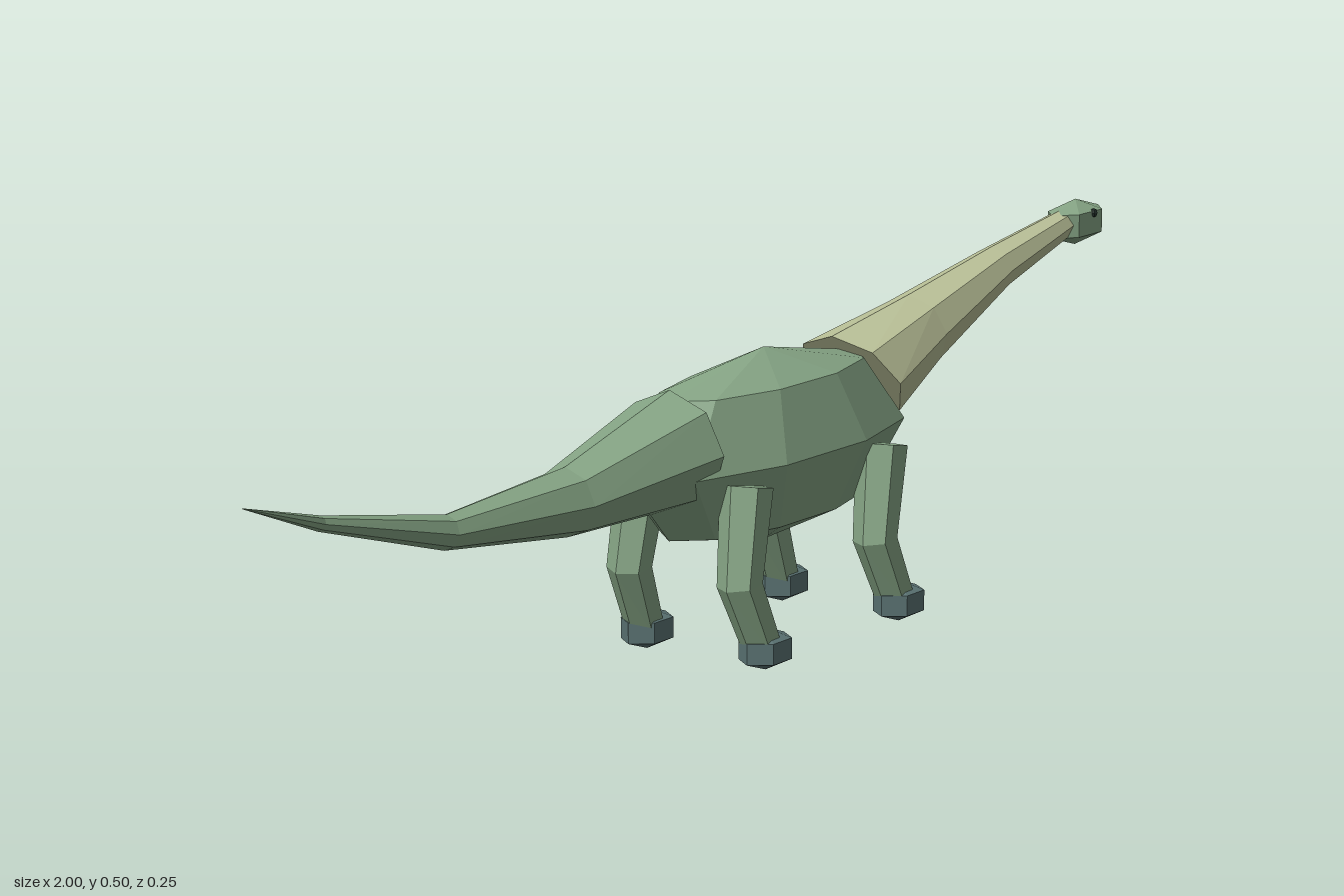
import * as THREE from 'three';

const mat = (name, color) => {
  const m = new THREE.MeshStandardMaterial({ color });
  m.name = name;
  return m;
};

// Faceted tube through rings [x, y, z, radius]; "ref" is the direction of the first corner
function loft(rings, sides, ref, startTangent) {
  const pts = rings.map(r => new THREE.Vector3(r[0], r[1], r[2]));
  const last = rings.length - 1;
  const pos = [], idx = [];
  pts.forEach((p, i) => {
    const a = i > 0 ? p.clone().sub(pts[i - 1]).normalize() : new THREE.Vector3();
    const b = i < last ? pts[i + 1].clone().sub(p).normalize() : new THREE.Vector3();
    const t = (i === 0 && startTangent ? startTangent.clone() : a.add(b)).normalize();
    const u = ref.clone().addScaledVector(t, -ref.dot(t)).normalize();
    const v = t.clone().cross(u);
    for (let j = 0; j < sides; j++) {
      const k = j / sides * Math.PI * 2;
      const q = p.clone().addScaledVector(u, Math.cos(k) * rings[i][3]).addScaledVector(v, Math.sin(k) * rings[i][3]);
      pos.push(q.x, q.y, q.z);
    }
  });
  for (let i = 0; i < last; i++) {
    for (let j = 0; j < sides; j++) {
      const n = (j + 1) % sides;
      const a = i * sides + j, b = i * sides + n, c = a + sides, d = b + sides;
      idx.push(a, b, c, b, d, c);
    }
  }
  // End caps
  for (let j = 1; j < sides - 1; j++) {
    const e = last * sides;
    idx.push(0, j + 1, j, e, e + j, e + j + 1);
  }
  const g = new THREE.BufferGeometry();
  g.setAttribute('position', new THREE.Float32BufferAttribute(pos, 3));
  g.setIndex(idx);
  return g;
}

// Low-poly ellipsoid with its poles on y
const blob = (rx, ry, rz, around, levels) => new THREE.SphereGeometry(1, around, levels).scale(rx, ry, rz);

export function createModel() {
  const group = new THREE.Group();
  const green = mat('skinGreen', 0x86a585);
  const tan = mat('neckTan', 0xbac198);
  const slate = mat('footSlate', 0x5b7373);
  const dark = mat('eyeDark', 0x27352f);
  const up = new THREE.Vector3(0, 1, 0);
  const forward = new THREE.Vector3(1, 0, 0);

  const add = (name, geometry, material, x = 0, y = 0, z = 0) => {
    const flat = geometry.index ? geometry.toNonIndexed() : geometry;
    flat.computeVertexNormals();
    const mesh = new THREE.Mesh(flat, material);
    mesh.name = name;
    mesh.position.set(x, y, z);
    group.add(mesh);
  };

  // Barrel-shaped body
  add('body', blob(0.31, 0.134, 0.111, 10, 4), green, 0.125, 0.274, 0);

  // Long neck, rising forward from a slanted base
  add('neck', loft([
    [0.34, 0.33, 0, 0.082],
    [0.5, 0.372, 0, 0.055],
    [0.71, 0.43, 0, 0.033],
    [0.905, 0.47, 0, 0.021],
  ], 8, up, new THREE.Vector3(0.8, 0.6, 0)), tan);

  // Tail dips, then lifts to a tip that swings sideways
  add('tail', loft([
    [-0.083, 0.303, 0, 0.082],
    [-0.32, 0.275, 0, 0.047],
    [-0.57, 0.283, 0, 0.023],
    [-0.81, 0.34, -0.003, 0.01],
    [-1, 0.4, 0.04, 0.0005],
  ], 8, up), green);

  // Head and eyes
  add('head', blob(0.075, 0.034, 0.036, 6, 3), green, 0.935, 0.467, 0);
  for (const s of [-1, 1]) {
    add(s > 0 ? 'eyeFrontSide' : 'eyeBackSide', blob(0.008, 0.007, 0.005, 6, 4), dark, 0.945, 0.481, s * 0.026);
  }

  // Four bent legs with feet
  for (const [label, x] of [['hind', 0], ['fore', 0.325]]) {
    for (const s of [-1, 1]) {
      const side = s > 0 ? 'FrontSide' : 'BackSide';
      add(label + 'Leg' + side, loft([
        [x - 0.036, 0.255, s * 0.085, 0.036],
        [x - 0.06, 0.125, s * 0.091, 0.031],
        [x - 0.018, 0.035, s * 0.097, 0.027],
      ], 6, forward), green);
      add(label + 'Foot' + side, blob(0.05, 0.029, 0.038, 6, 3), slate, x - 0.01, 0.029, s * 0.098);
    }
  }
  return group;
}
